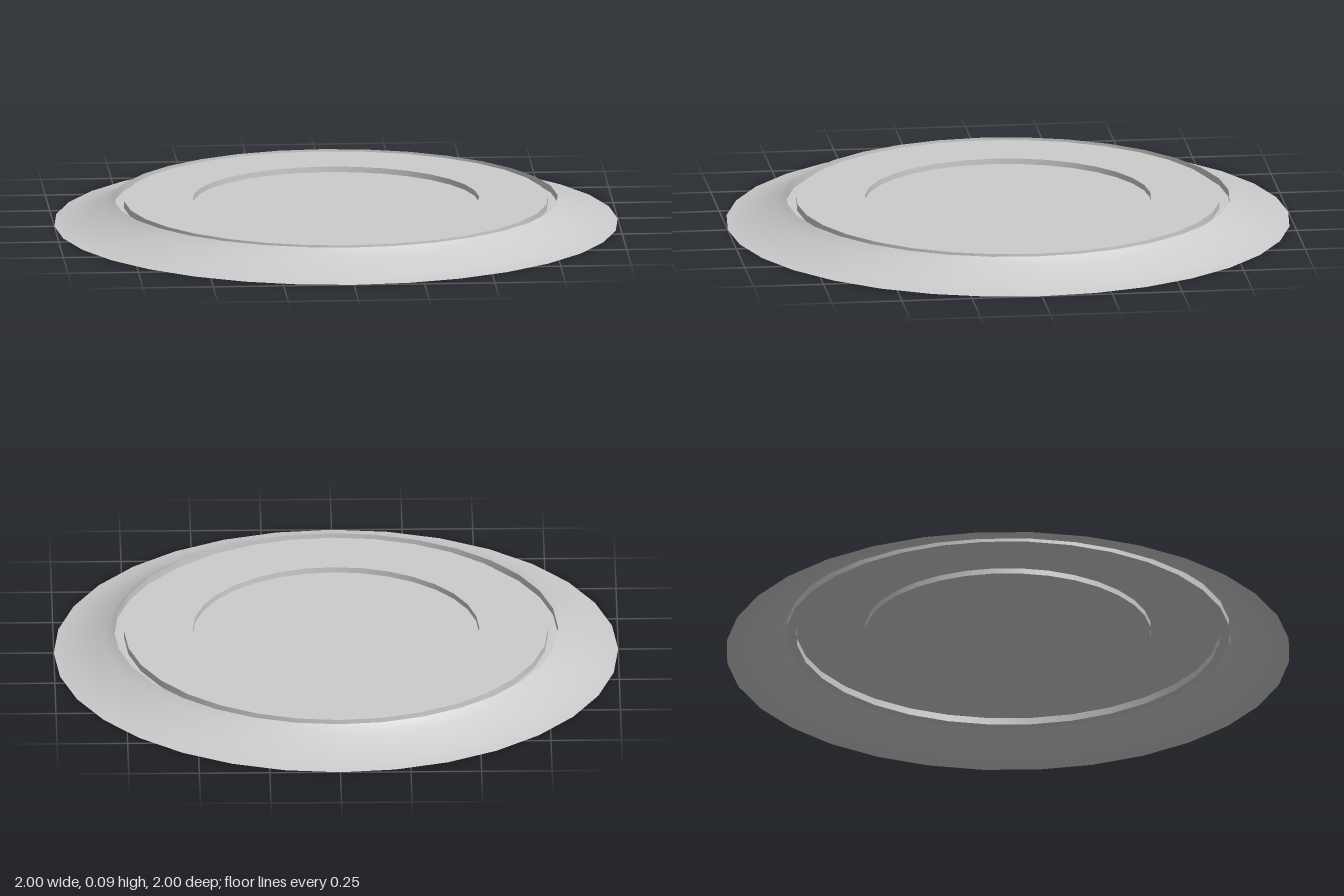
import * as THREE from 'three';

const SIDES = 32;
const TOP = 0.087;      // rim and plate height
const GROOVE = 0.062;   // floor of the ring groove
const RECESS = 0.067;   // floor of the central recess
const R_RIM = 0.787, R_PLATE = 0.752, R_RECESS = 0.508;

export function createModel() {
  const model = new THREE.Group();
  model.name = 'roundBase';
  const material = new THREE.MeshStandardMaterial({ color: 0xcccccc, side: THREE.DoubleSide });

  // Turns a profile, listed from the outside inwards, into a thin shell
  const turn = (name, profile) => {
    const points = profile.map(([r, y]) => new THREE.Vector2(r, y));
    const mesh = new THREE.Mesh(new THREE.LatheGeometry(points, SIDES), material);
    mesh.name = name;
    model.add(mesh);
  };

  // Flared outer skirt, smooth from the ground to the rim
  turn('skirt', [[1, 0], [0.92, 0.012], [0.82, 0.06], [R_RIM, TOP]]);

  // Narrow groove between the rim and the plate
  turn('grooveOuterWall', [[R_RIM, TOP], [R_RIM, GROOVE]]);
  turn('grooveFloor', [[R_RIM, GROOVE], [R_PLATE, GROOVE]]);
  turn('grooveInnerWall', [[R_PLATE, GROOVE], [R_PLATE, TOP]]);

  // Flat plate with a shallow central recess
  turn('plate', [[R_PLATE, TOP], [R_RECESS, TOP]]);
  turn('recessWall', [[R_RECESS, TOP], [R_RECESS, RECESS]]);
  turn('recessFloor', [[R_RECESS, RECESS], [0, RECESS]]);

  return model;
}
